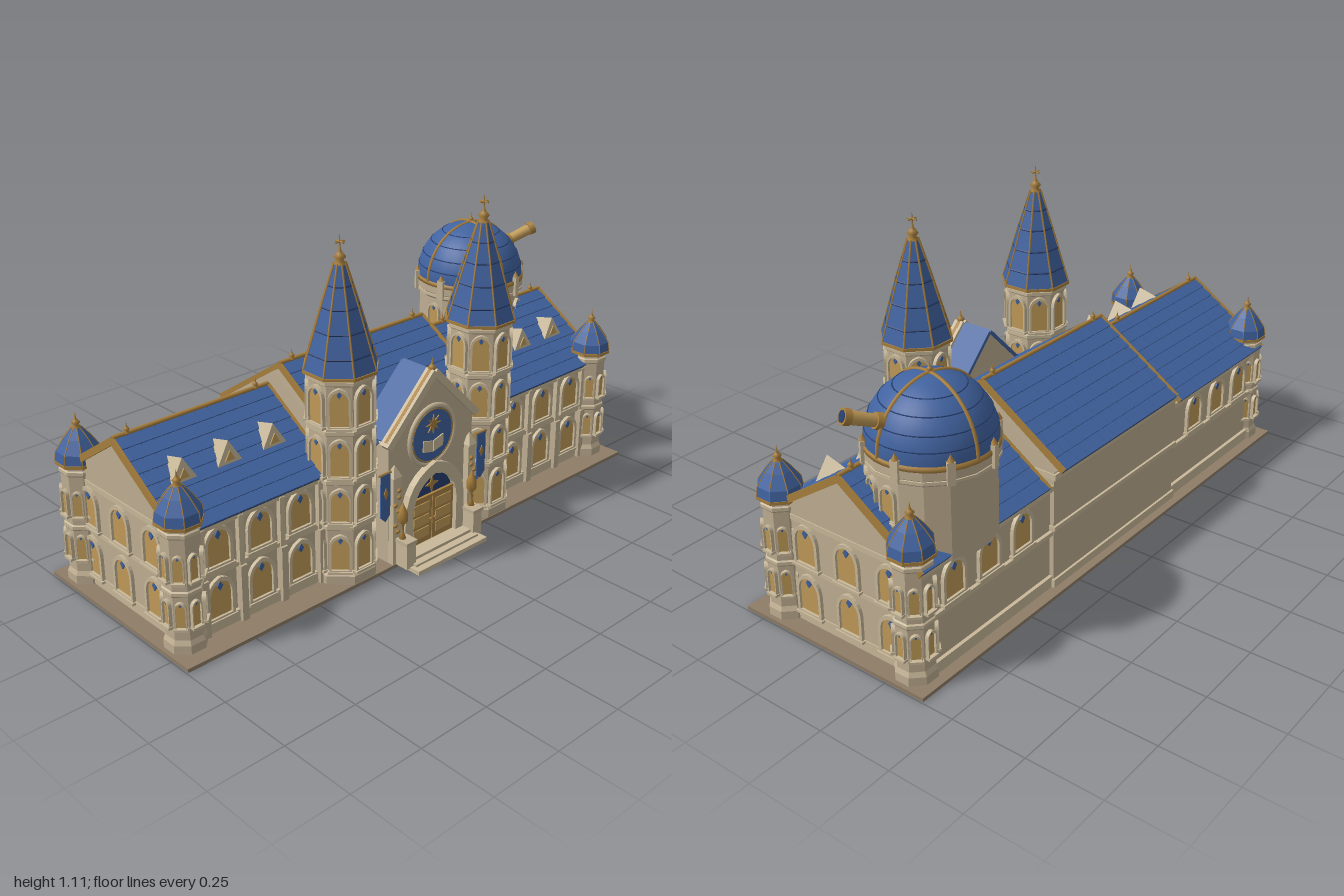
import * as THREE from 'three';
import { mergeGeometries } from 'three/addons/utils/BufferGeometryUtils.js';
import { ConvexGeometry } from 'three/addons/geometries/ConvexGeometry.js';

const material = (name, color) => Object.assign(new THREE.MeshStandardMaterial({ color }), { name });
const M = {
  stone: material('stone', 0xbfae92), trim: material('light stone trim', 0xc8b899), ground: material('paving', 0x8f7d67),
  blue: material('roof blue', 0x40629f), navy: material('dark blue', 0x263e70), gold: material('gold trim', 0xa87f3d),
  glass: material('warm window', 0xc09a58), wood: material('door wood', 0xa98348),
};
const V = (x, y, z) => new THREE.Vector3(x, y, z);
const RIDGE_Z = -0.06, SLOPE = 0.667;

function add(parent, name, geo, mat, x = 0, y = 0, z = 0, ry = 0) {
  const mesh = new THREE.Mesh(geo, mat);
  mesh.name = name;
  mesh.position.set(x, y, z);
  mesh.rotation.y = ry;
  parent.add(mesh);
  return mesh;
}
function group(parent, name, x = 0, y = 0, z = 0, ry = 0) {
  const g = new THREE.Group();
  g.name = name; g.position.set(x, y, z); g.rotation.y = ry;
  parent.add(g);
  return g;
}
const box = (p, name, mat, w, h, d, x, y, z, ry) => add(p, name, new THREE.BoxGeometry(w, h, d), mat, x, y, z, ry);
function flat(geo) {
  const g = geo.toNonIndexed();
  g.computeVertexNormals();
  return g;
}
// Faceted solid of revolution with one face toward the front
const faceted = (profile, sides) => flat(new THREE.LatheGeometry(profile.map(p => new THREE.Vector2(...p)), sides)
  .rotateY(Math.PI / sides));
const turned = (profile, sides = 12) => new THREE.LatheGeometry(profile.map(p => new THREE.Vector2(...p)), sides);
function rod(p, name, mat, a, b, r, r2 = r, sides = 6) {
  const m = add(p, name, new THREE.CylinderGeometry(r2, r, a.distanceTo(b), sides), mat);
  m.position.copy(a).add(b).multiplyScalar(0.5);
  m.quaternion.setFromUnitVectors(V(0, 1, 0), b.clone().sub(a).normalize());
}
const extrude = (shape, depth) => new THREE.ExtrudeGeometry(shape, { depth, bevelEnabled: false, curveSegments: 6 });
const poly = pts => new THREE.Shape(pts.map(p => new THREE.Vector2(...p)));

// Pointed arch outline standing on y = y0
function arch(w, h, y0 = 0) {
  const s = new THREE.Shape(), a = w / 2, spring = h - w * 0.6;
  s.moveTo(-a, y0); s.lineTo(a, y0); s.lineTo(a, spring);
  s.quadraticCurveTo(a * 0.95, h - w * 0.12, 0, h);
  s.quadraticCurveTo(-a * 0.95, h - w * 0.12, -a, spring);
  s.lineTo(-a, y0);
  return s;
}
function archWindow(parent, w, h, x, y, z, ry = 0) {
  const g = group(parent, 'archedWindow', x, y, z, ry), t = w * 0.13;
  const frame = arch(w + 2 * t, h + t * 1.3, -t);
  frame.holes.push(arch(w, h));
  add(g, 'windowFrame', extrude(frame, 0.012), M.trim);
  add(g, 'windowPane', extrude(arch(w, h), 0.004), M.glass);
  const gem = w * 0.13;
  add(g, 'windowGem', extrude(poly([[0, -gem * 1.5], [gem, 0], [0, gem * 1.5], [-gem, 0]]), 0.005), M.blue, 0, h - w * 0.22, 0.004);
  box(g, 'windowSill', M.trim, w + 3 * t, 0.008, 0.018, 0, -t, 0.008);
}
function finial(parent, y, s) {
  add(parent, 'finial', turned([[0, 0], [0.5, 0], [0.6, 0.25], [0.3, 0.45], [0.55, 0.8], [0.3, 1.1], [0.15, 1.3], [0, 2.2]]
    .map(([r, h]) => [r * s, h * s])), M.gold, 0, y, 0);
}
// Gabled wall block running along x
function gableBlock(parent, name, x0, x1, half, apex) {
  const e = apex - half * SLOPE;
  const geo = extrude(poly([[-half, 0], [half, 0], [half, e], [0, apex], [-half, e]]), x1 - x0);
  add(parent, name, geo.rotateY(Math.PI / 2), M.stone, x0, 0, RIDGE_Z);
}
// Rows of staggered tiles on both slopes, with ridge and verge trim
function tiledRoof(parent, x0, x1, y, run) {
  const g = group(parent, 'tiledRoof', (x0 + x1) / 2, y, RIDGE_Z), w = x1 - x0;
  const len = run * Math.hypot(1, SLOPE), rows = 8, cols = Math.round(w / 0.048), step = len / rows, cw = w / cols;
  for (const ry of [0, Math.PI]) {
    const side = group(g, 'roofSlope', 0, 0, 0, ry);
    side.rotation.order = 'YXZ';
    side.rotation.x = Math.atan(SLOPE);
    box(side, 'roofBase', M.navy, w, 0.012, len, 0, -0.01, len / 2);
    const tiles = [];
    for (let r = 0; r < rows; r++) for (let c = 0; c <= cols; c++) {
      const a = Math.max(-w / 2, -w / 2 + (c - (r % 2) / 2) * cw), b = Math.min(w / 2, -w / 2 + (c + 1 - (r % 2) / 2) * cw);
      if (b - a < 0.005) continue;
      tiles.push(new THREE.BoxGeometry(b - a - 0.0025, 0.007, step * 1.04).rotateX(-0.1)
        .translate((a + b) / 2, -0.002, (r + 0.5) * step));
    }
    add(side, 'roofTiles', mergeGeometries(tiles), M.blue);
    for (const s of [-1, 1]) box(side, 'vergeTrim', M.gold, 0.01, 0.022, len, s * w / 2, -0.006, len / 2);
  }
  rod(g, 'ridgeTrim', M.gold, V(-w / 2, 0.002, 0), V(w / 2, 0.002, 0), 0.007);
  for (const s of [-1, 1]) finial(group(g, 'ridgeFinial', s * (w / 2 - 0.05), 0, 0), 0, 0.018);
}
// Octagonal tower: r is the distance to a face
function tower(parent, name, x, z, r, top, bands, windows, w, cap) {
  const g = group(parent, name, x, 0, z), R = r / Math.cos(Math.PI / 8);
  add(g, 'shaft', faceted([[R * 1.13, 0], [R * 1.13, 0.04], [R, 0.055], [R, top], [0, top]], 8), M.stone);
  for (const y of bands) add(g, 'stringCourse', faceted([[R * 0.95, y - 0.012], [R * 1.08, y - 0.003], [R * 1.08, y + 0.008], [R * 0.95, y + 0.014]], 8), M.trim);
  for (const [y, h] of windows) for (let k = 0; k < 8; k++) {
    const a = k * Math.PI / 4;
    archWindow(g, w, h, Math.sin(a) * r, y, Math.cos(a) * r, a);
  }
  add(g, 'capUnderside', faceted([[0, cap[0][1] - 0.001], [cap[0][0], cap[0][1]]], 8).rotateX(0), M.navy).material = M.navy;
  add(g, 'eaveRing', faceted([[0, cap[0][1] - 0.008], [cap[0][0] * 1.02, cap[0][1] - 0.006], [cap[0][0] * 1.02, cap[0][1] + 0.004], [cap[0][0] * 0.98, cap[0][1] + 0.004]], 8), M.gold);
  add(g, 'capRoof', faceted(cap, 8), M.blue);
  for (let k = 0; k < 8; k++) {
    const a = Math.PI / 8 + k * Math.PI / 4;
    const pts = cap.map(([q, y]) => V(Math.sin(a) * q, y, Math.cos(a) * q));
    for (let i = 1; i < pts.length; i++) rod(g, 'capRib', M.gold, pts[i - 1], pts[i], r * 0.035, r * 0.035, 5);
  }
  return g;
}

export function createModel() {
  const model = new THREE.Group();
  model.name = 'observatoryHall';
  box(model, 'groundPlate', M.ground, 1.99, 0.012, 0.715, 0, 0.006, -0.033);

  // Central hall
  gableBlock(model, 'centralHall', -0.345, 0.345, 0.295, 0.615);
  tiledRoof(model, -0.32, 0.32, 0.632, 0.315);
  for (const [y, h] of [[0.02, 0.04], [0.225, 0.014], [0.405, 0.02]]) box(model, 'hallBand', M.trim, 0.7, h, 0.606, 0, y, RIDGE_Z);

  for (const s of [-1, 1]) {
    // Side wing
    const wing = group(model, s > 0 ? 'leftWing' : 'rightWing');
    gableBlock(wing, 'wingWalls', s > 0 ? 0.33 : -0.935, s > 0 ? 0.935 : -0.33, 0.28, 0.562);
    tiledRoof(wing, s > 0 ? 0.37 : -0.945, s > 0 ? 0.945 : -0.37, 0.578, 0.3);
    for (const [y, h, e] of [[0.03, 0.04, 0.012], [0.205, 0.014, 0.012], [0.365, 0.018, 0.014]])
      box(wing, 'wingBand', M.trim, 0.605, h, 0.56 + 2 * e, s * 0.636, y, RIDGE_Z);
    for (const x of [0.49, 0.645, 0.8]) {
      archWindow(wing, 0.08, 0.12, s * x, 0.055, 0.22);
      archWindow(wing, 0.08, 0.115, s * x, 0.23, 0.22);
      archWindow(wing, 0.08, 0.115, s * x, 0.23, -0.34, Math.PI);
    }
    for (const x of [0.415, 0.567, 0.722, 0.862]) {
      box(wing, 'buttressLower', M.stone, 0.024, 0.2, 0.034, s * x, 0.1, 0.228);
      box(wing, 'buttressUpper', M.trim, 0.018, 0.17, 0.022, s * x, 0.28, 0.226);
    }
    for (const z of [0.1, -0.065, -0.23]) for (const y of [0.055, 0.225])
      archWindow(wing, 0.078, 0.12, s * 0.934, y, z, s * Math.PI / 2);
    // Dormers
    for (const x of [0.49, 0.66, 0.825]) {
      const d = group(wing, 'dormer', s * x, 0, 0);
      add(d, 'dormerBody', new ConvexGeometry([V(-0.045, 0.465, 0.115), V(0.045, 0.465, 0.115), V(0, 0.537, 0.108), V(0, 0.515, 0.025), V(0, 0.44, 0.09)]), M.trim);
      add(d, 'dormerWindow', extrude(poly([[-0.018, 0], [0.018, 0], [0, 0.032]]), 0.004), M.glass, 0, 0.475, 0.113);
    }
    // Corner turrets
    for (const z of [0.214, -0.3]) {
      const t = tower(wing, 'cornerTurret', s * 0.92, z, 0.054, 0.43, [0.205, 0.39], [[0.1, 0.08], [0.25, 0.08]], 0.028,
        [[0.072, 0.42], [0.067, 0.455], [0.04, 0.495], [0.015, 0.525]]);
      finial(t, 0.52, 0.025);
    }
    // Entrance towers
    const t = tower(model, s > 0 ? 'leftTower' : 'rightTower', s * 0.31, 0.215, 0.095, 0.71, [0.205, 0.36, 0.525, 0.685],
      [[0.06, 0.115], [0.23, 0.105], [0.385, 0.115], [0.55, 0.115]], 0.056, [[0.119, 0.705], [0.102, 0.76], [0.06, 0.9], [0.018, 1.03]]);
    for (const [r, y] of [[0.102, 0.76], [0.081, 0.83], [0.06, 0.9], [0.039, 0.965]])
      add(t, 'spireSeam', faceted([[r + 0.001, y - 0.003], [r + 0.002, y], [r - 0.001, y + 0.003]], 8), M.navy);
    finial(t, 1.02, 0.034);
    rod(t, 'starArm', M.gold, V(-0.018, 1.092, 0), V(0.018, 1.092, 0), 0.003);
    rod(t, 'starArm', M.gold, V(0, 1.092, -0.018), V(0, 1.092, 0.018), 0.003);
    rod(t, 'starMast', M.gold, V(0, 1.06, 0), V(0, 1.113, 0), 0.004, 0.001);
  }

  // Entrance porch
  const porch = group(model, 'entrancePorch');
  add(porch, 'porchWalls', extrude(poly([[-0.19, 0], [0.19, 0], [0.19, 0.425], [0, 0.615], [-0.19, 0.425]]), 0.13), M.stone, 0, 0, 0.17);
  for (const s of [-1, 1]) {
    const tilt = s * -Math.PI / 4;
    box(porch, 'porchRoof', M.blue, 0.268, 0.012, 0.11, s * 0.096, 0.528, 0.222).rotation.z = tilt;
    box(porch, 'gableCoping', M.trim, 0.285, 0.024, 0.035, s * 0.1, 0.524, 0.297).rotation.z = tilt;
    box(porch, 'gableGilding', M.gold, 0.28, 0.008, 0.012, s * 0.099, 0.537, 0.297).rotation.z = tilt;
    box(porch, 'porchPier', M.trim, 0.034, 0.32, 0.03, s * 0.172, 0.16, 0.307);
    add(porch, 'pierCap', flat(new THREE.ConeGeometry(0.026, 0.04, 4)).rotateY(Math.PI / 4), M.trim, s * 0.172, 0.34, 0.307);
    // Pedestal, lantern and garland
    box(porch, 'pedestal', M.trim, 0.04, 0.09, 0.05, s * 0.155, 0.055, 0.346);
    box(porch, 'pedestalCap', M.stone, 0.048, 0.012, 0.056, s * 0.155, 0.1, 0.346);
    add(porch, 'lantern', turned([[0, 0], [0.012, 0], [0.005, 0.02], [0.005, 0.05], [0.016, 0.06], [0.017, 0.09], [0.008, 0.11], [0, 0.13]], 8), M.gold, s * 0.16, 0.106, 0.335);
    for (let i = 0; i < 7; i++)
      add(porch, 'garland', new THREE.IcosahedronGeometry(0.009, 0), M.gold, s * (0.172 + 0.01 * Math.sin(i * 2)), 0.13 + i * 0.024, 0.323);
    // Banners
    const banner = group(porch, 'banner', s * 0.22, 0.18, 0.315);
    add(banner, 'bannerCloth', extrude(poly([[-0.02, 0.02], [0, 0], [0.02, 0.02], [0.02, 0.165], [-0.02, 0.165]]), 0.004), M.blue);
    add(banner, 'bannerDiamond', extrude(poly([[0, -0.02], [0.009, 0], [0, 0.02], [-0.009, 0]]), 0.003), M.gold, 0, 0.1, 0.004);
    rod(banner, 'bannerPole', M.gold, V(-0.026, 0.167, 0), V(0.026, 0.167, 0), 0.004);
  }
  finial(group(porch, 'gableFinial', 0, 0, 0.297), 0.615, 0.026);
  const portal = arch(0.27, 0.305);
  portal.holes.push(arch(0.2, 0.265));
  add(porch, 'portalArch', extrude(portal, 0.024), M.trim, 0, 0.012, 0.3);
  add(porch, 'tympanum', extrude(arch(0.2, 0.265), 0.004), M.navy, 0, 0.012, 0.3);
  for (const s of [-1, 1]) {
    box(porch, 'doorLeaf', M.wood, 0.096, 0.16, 0.008, s * 0.05, 0.112, 0.306);
    for (const y of [0.07, 0.115, 0.16]) box(porch, 'doorPanel', M.glass, 0.07, 0.034, 0.004, s * 0.05, y, 0.311);
    add(porch, 'doorKnob', new THREE.SphereGeometry(0.005, 8, 6), M.gold, s * 0.009, 0.11, 0.314);
  }
  box(porch, 'doorLintel', M.gold, 0.2, 0.008, 0.012, 0, 0.196, 0.308);
  const starShape = (n, r) => poly(Array.from({ length: 2 * n }, (_, i) => {
    const a = i * Math.PI / n, q = i % 2 ? r * 0.35 : r;
    return [Math.sin(a) * q, Math.cos(a) * q];
  }));
  add(porch, 'tympanumStar', extrude(starShape(4, 0.03), 0.004), M.gold, 0, 0.232, 0.304);
  // Round window with a star over an open book
  const rose = group(porch, 'roundWindow', 0, 0.405, 0.3);
  add(rose, 'roundGlass', new THREE.CylinderGeometry(0.096, 0.096, 0.008, 32).rotateX(Math.PI / 2), M.blue, 0, 0, 0.002);
  add(rose, 'roundFrame', new THREE.TorusGeometry(0.1, 0.009, 8, 36), M.trim);
  add(rose, 'roundGilding', new THREE.TorusGeometry(0.09, 0.003, 6, 36), M.gold, 0, 0, 0.005);
  add(rose, 'roundStar', extrude(starShape(8, 0.034), 0.004), M.gold, 0, 0.04, 0.006);
  for (const s of [-1, 1])
    add(rose, 'bookPage', extrude(poly(s > 0 ? [[0.002, -0.045], [0.045, -0.035], [0.045, 0.005], [0.002, -0.007]]
      : [[-0.045, -0.035], [-0.002, -0.045], [-0.002, -0.007], [-0.045, 0.005]]), 0.004), M.trim, 0, -0.012, 0.006);
  [[0.32, 0.41, 0.014], [0.29, 0.385, 0.022], [0.27, 0.36, 0.032]].forEach(([w, z, h]) =>
    box(porch, 'step', M.trim, w, h, z - 0.28, 0, h / 2, (z + 0.28) / 2));

  // Observatory drum and dome
  const obs = group(model, 'observatory', 0.72, 0, -0.208);
  add(obs, 'drum', faceted([[0, 0.365], [0.185, 0.365], [0.185, 0.61], [0.197, 0.622], [0.197, 0.65], [0, 0.65]], 16), M.stone);
  add(obs, 'drumCornice', faceted([[0.184, 0.598], [0.197, 0.608], [0.197, 0.618], [0.184, 0.622]], 16), M.trim);
  for (let k = 0; k < 16; k++) {
    const a = k * Math.PI / 8, b = a + Math.PI / 16;
    if (k < 5 || k > 11) archWindow(obs, 0.046, 0.1, Math.sin(a) * 0.181, 0.475, Math.cos(a) * 0.181, a);
    if (k % 2) continue;
    box(obs, 'parapetPost', M.trim, 0.024, 0.07, 0.018, Math.sin(b) * 0.195, 0.642, Math.cos(b) * 0.195, b);
    add(obs, 'postCap', new THREE.ConeGeometry(0.012, 0.022, 6), M.gold, Math.sin(b) * 0.195, 0.688, Math.cos(b) * 0.195);
  }
  add(obs, 'dome', new THREE.SphereGeometry(0.192, 32, 12, 0, Math.PI * 2, 0, Math.PI / 2), M.blue, 0, 0.66, 0);
  add(obs, 'domeRing', turned([[0.185, 0.645], [0.197, 0.648], [0.197, 0.66], [0.188, 0.665]], 32), M.gold);
  for (const t of [0.22, 0.45, 0.72, 1.0])
    add(obs, 'domeSeam', new THREE.TorusGeometry(0.1915 * Math.cos(t), 0.002, 5, 40).rotateX(Math.PI / 2), M.navy, 0, 0.66 + 0.1915 * Math.sin(t), 0);
  for (const a of [0.15, 0.15 + Math.PI / 2])
    add(obs, 'domeRib', new THREE.TorusGeometry(0.192, 0.006, 6, 32, Math.PI), M.gold, 0, 0.66, 0, -a);
  finial(obs, 0.848, 0.018);
  // Telescope
  const dir = V(0.86, 0.36, 0.36).normalize(), tip = V(0.255, 0.795, 0.08);
  const along = d => tip.clone().addScaledVector(dir, -d);
  rod(obs, 'telescopeTube', M.glass, along(0.2), tip, 0.016, 0.021, 14);
  rod(obs, 'telescopeRim', M.gold, along(0.018), along(-0.003), 0.024, 0.024, 14);
  rod(obs, 'telescopeCollar', M.gold, along(0.12), along(0.095), 0.026, 0.024, 14);
  rod(obs, 'telescopeLens', M.navy, along(0), along(-0.005), 0.017, 0.017, 14);
  return model;
}
